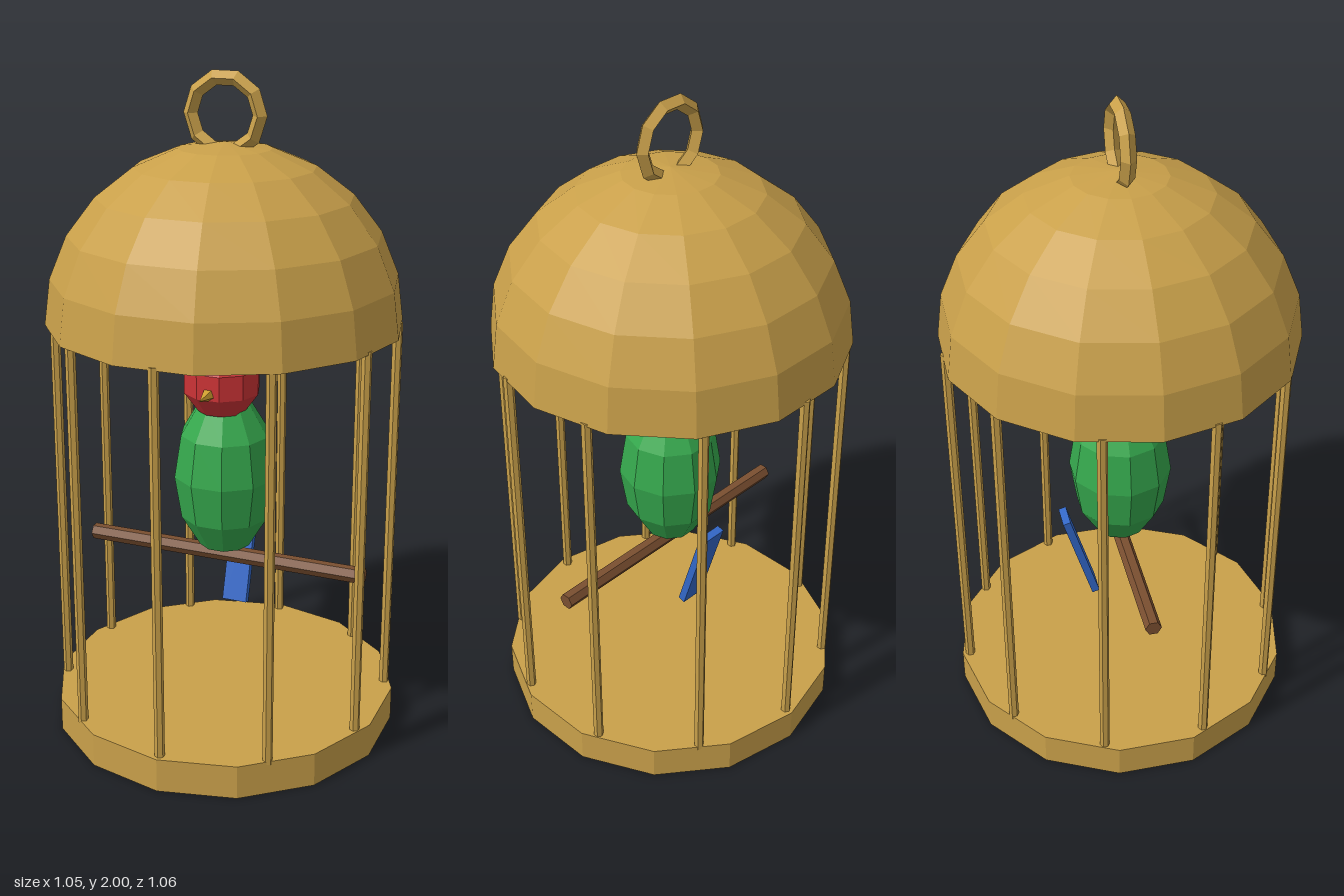
import * as THREE from 'three';

const paint = (color, side = THREE.FrontSide) =>
  new THREE.MeshStandardMaterial({ color, side, flatShading: true });

function part(parent, name, geometry, material, x = 0, y = 0, z = 0) {
  const mesh = new THREE.Mesh(geometry, material);
  mesh.name = name;
  mesh.position.set(x, y, z);
  parent.add(mesh);
  return mesh;
}

export function createModel() {
  const model = new THREE.Group();
  model.name = 'birdcage';
  const gold = paint(0xc9a04a);

  // Cage: round floor, open dome and hanging ring
  const cage = new THREE.Group();
  cage.name = 'cage';
  model.add(cage);
  part(cage, 'base', new THREE.CylinderGeometry(0.53, 0.53, 0.105, 14), gold, 0, 0.0525, 0);
  part(cage, 'dome', new THREE.SphereGeometry(0.526, 14, 6, 0, Math.PI * 2, 0, Math.PI / 2),
    paint(0xc9a04a, THREE.DoubleSide), 0, 1.277, 0);
  part(cage, 'hangingRing', new THREE.TorusGeometry(0.105, 0.022, 4, 10), gold, 0, 1.879, 0);

  // Ten upright bars around the rim
  const barGeometry = new THREE.CylinderGeometry(0.015, 0.015, 1.19, 6);
  for (let i = 0; i < 10; i++) {
    const a = (i / 10) * Math.PI * 2;
    part(cage, 'bar', barGeometry, gold, 0.505 * Math.sin(a), 0.69, 0.505 * Math.cos(a));
  }

  // Perch across the cage
  const perch = part(model, 'perch', new THREE.CylinderGeometry(0.025, 0.025, 0.9, 6),
    paint(0x7a4f30), 0, 0.533, 0);
  perch.rotation.z = Math.PI / 2;

  // Bird: egg-shaped body, round head, small beak, slanted tail
  const bird = new THREE.Group();
  bird.name = 'bird';
  model.add(bird);
  part(bird, 'body', new THREE.SphereGeometry(0.157, 10, 6).scale(1, 1.68, 1),
    paint(0x35a84d), 0, 0.8, 0);
  part(bird, 'head', new THREE.SphereGeometry(0.121, 10, 5), paint(0xcc3336), 0, 1.11, 0.025);
  const beak = part(bird, 'beak', new THREE.ConeGeometry(0.025, 0.08, 5),
    paint(0xd0a030), 0, 1.09, 0.156);
  beak.rotation.x = Math.PI / 2;
  const tail = part(bird, 'tail', new THREE.BoxGeometry(0.08, 0.313, 0.024),
    paint(0x3368c8), 0, 0.479, -0.133);
  tail.rotation.x = -0.29;

  return model;
}
